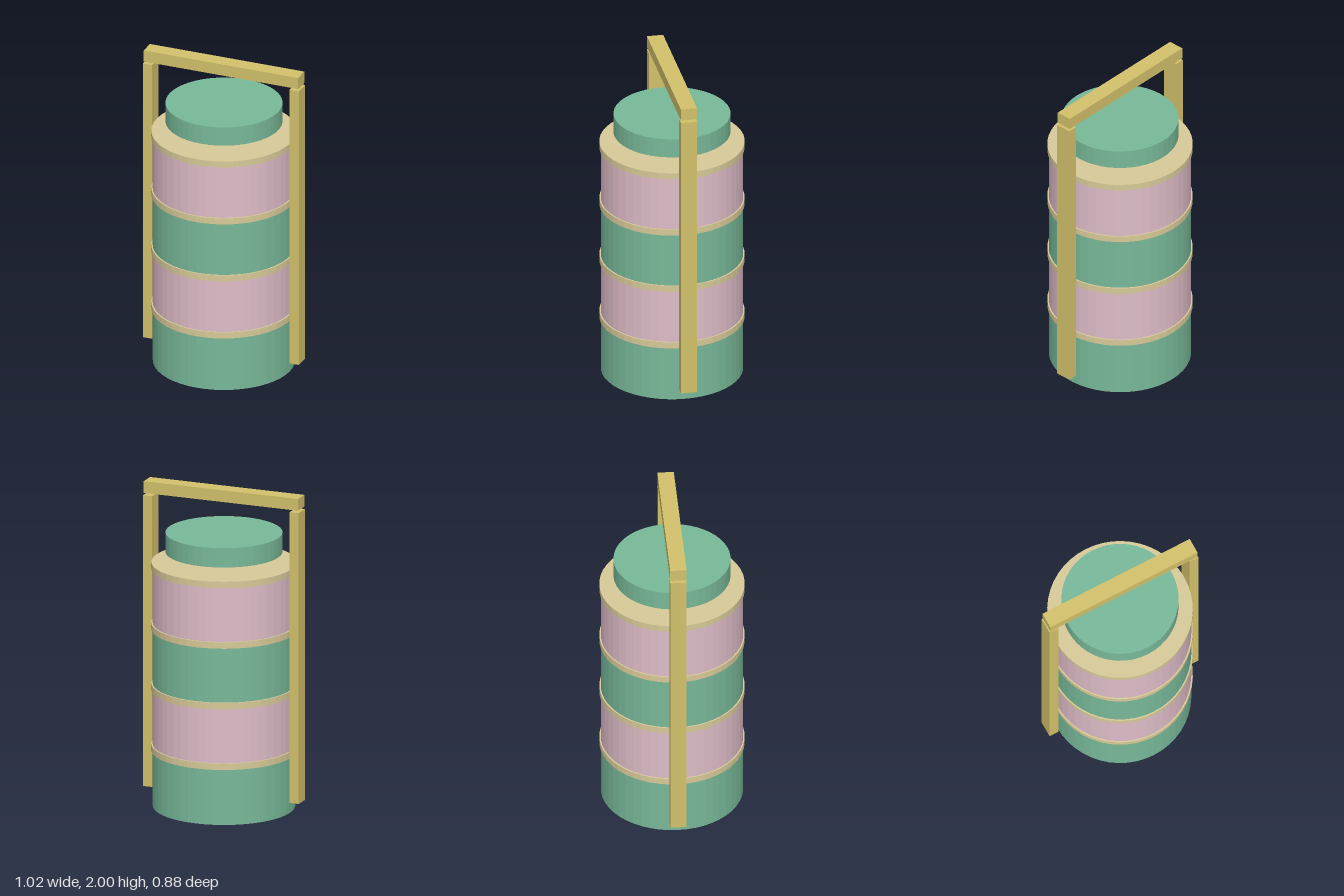
import * as THREE from 'three';

const paint = (name, color) => {
  const m = new THREE.MeshStandardMaterial({ color, flatShading: true });
  m.name = name;
  return m;
};

export function createModel() {
  const green = paint('sage green', 0x78b999);
  const pink = paint('dusty pink', 0xdfbdc8);
  const cream = paint('cream', 0xd8ca98);
  const gold = paint('brass', 0xd3c16b);

  const group = new THREE.Group();
  group.name = 'stackedLunchTin';

  const add = (name, geometry, material, x, y) => {
    const mesh = new THREE.Mesh(geometry, material);
    mesh.name = name;
    mesh.position.set(x, y, 0);
    group.add(mesh);
  };
  // Upright disc standing between two heights
  const drum = (name, radius, y0, y1, material) =>
    add(name, new THREE.CylinderGeometry(radius, radius, y1 - y0, 48), material, 0, (y0 + y1) / 2);

  // Four stacked tins, each closed by a rim band
  const pitch = 0.382;
  for (let i = 0; i < 4; i++) {
    const y = i * pitch;
    drum(`tin${i + 1}`, 0.432, y, y + 0.36, i % 2 ? pink : green);
    drum(`rimBand${i + 1}`, 0.441, y + 0.349, y + 0.389, cream);
  }

  // Raised lid
  drum('lid', 0.355, 1.6, 1.722, green);

  // Carrying frame: two side posts and a top bar
  for (const [name, side] of [['leftPost', 1], ['rightPost', -1]]) {
    add(name, new THREE.BoxGeometry(0.06, 1.832, 0.1), gold, side * 0.482, 0.995);
  }
  add('handleBar', new THREE.BoxGeometry(1.014, 0.074, 0.1), gold, 0, 1.963);

  return group;
}
